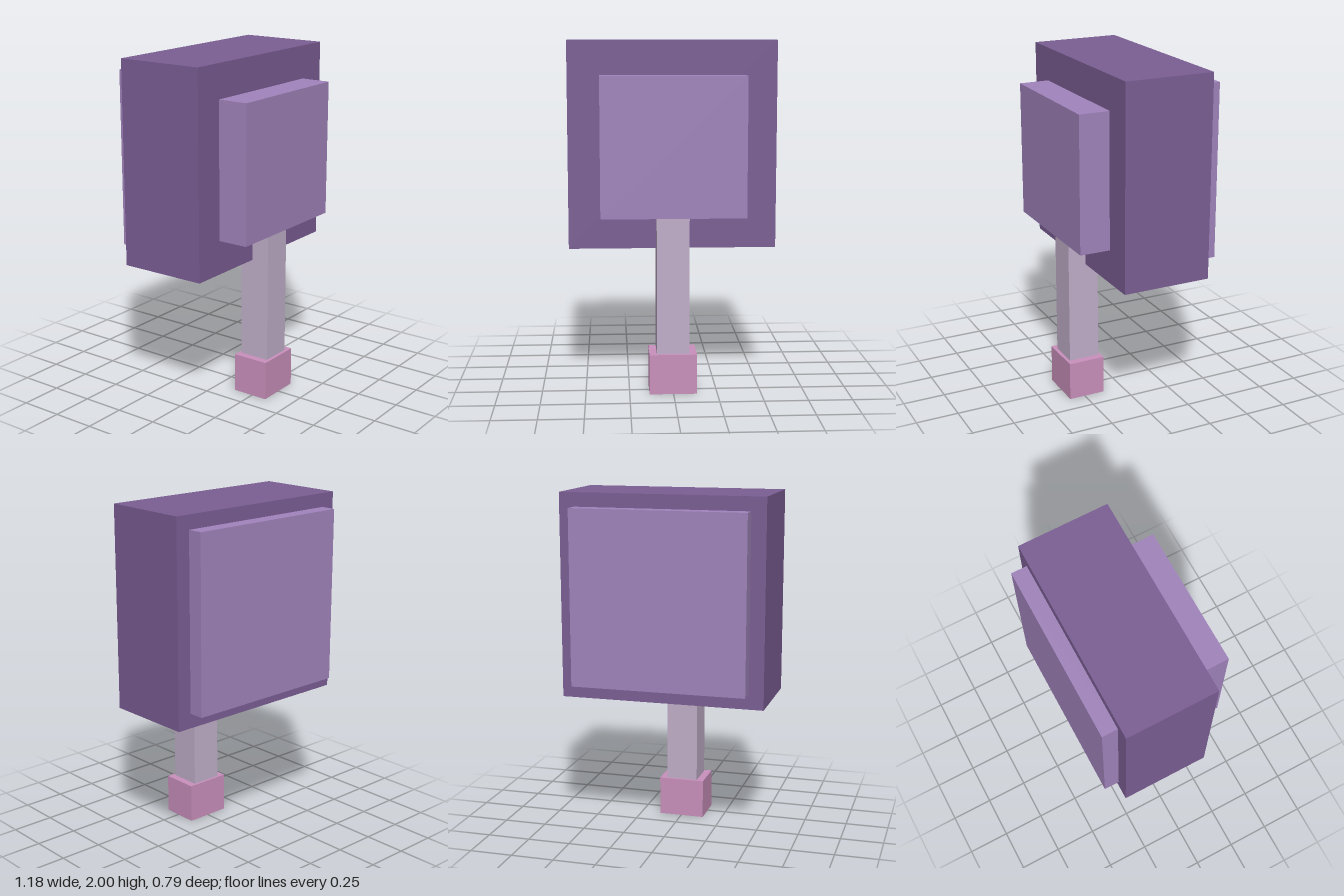
import * as THREE from 'three';

function material(name, color) {
  const m = new THREE.MeshStandardMaterial({ color });
  m.name = name;
  return m;
}

// Box given by its lower and upper limits on each axis
function block(name, mat, [x0, x1], [y0, y1], [z0, z1]) {
  const mesh = new THREE.Mesh(new THREE.BoxGeometry(x1 - x0, y1 - y0, z1 - z0), mat);
  mesh.position.set((x0 + x1) / 2, (y0 + y1) / 2, (z0 + z1) / 2);
  mesh.name = name;
  return mesh;
}

export function createModel() {
  const darkPurple = material('dark purple', 0x7b5e94);
  const lightPurple = material('light purple', 0xa083bb);
  const paleLilac = material('pale lilac', 0xc0aec9);
  const pink = material('pink', 0xc98fbb);

  const model = new THREE.Group();
  model.name = 'hammer';
  model.add(
    // Head with a raised face on the front and a thinner one on the back
    block('head', darkPurple, [-0.59, 0.59], [0.825, 2], [-0.305, 0.217]),
    block('frontFace', lightPurple, [-0.408, 0.406], [1.02, 1.806], [0.217, 0.395]),
    block('backFace', lightPurple, [-0.505, 0.505], [0.91, 1.92], [-0.395, -0.305]),
    // Handle runs up into the head and stops under the front face
    block('handle', paleLilac, [-0.094, 0.091], [0.23, 1.02], [0.141, 0.325]),
    block('pommel', pink, [-0.137, 0.134], [0, 0.23], [0.125, 0.345]),
  );
  return model;
}
